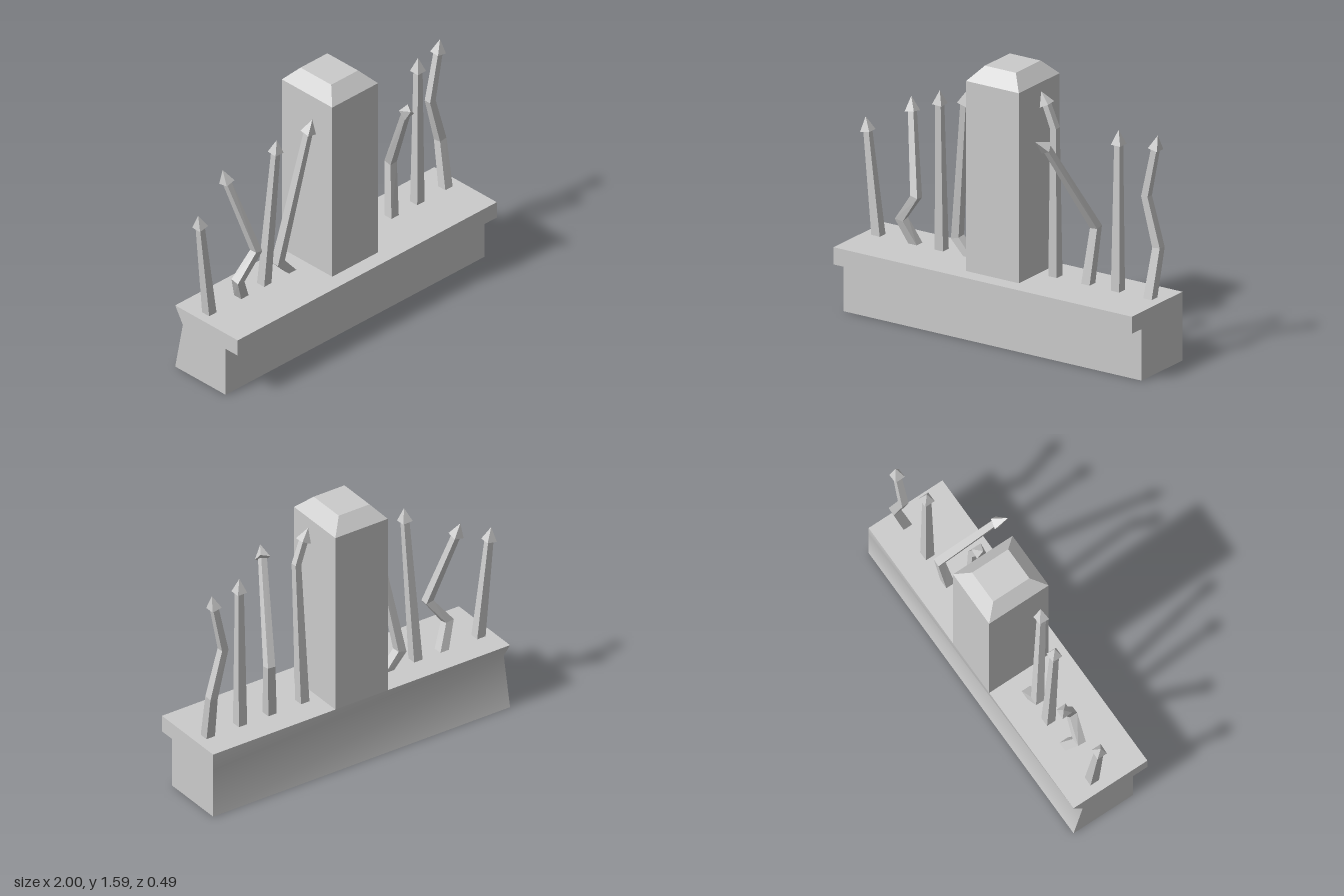
import * as THREE from 'three';
import { toCreasedNormals } from 'three/addons/utils/BufferGeometryUtils.js';

const grey = new THREE.MeshStandardMaterial({ color: 0xcccccc });
const flat = new THREE.MeshStandardMaterial({ color: 0xcccccc, flatShading: true });

function part(name, geometry, material = flat) {
  const mesh = new THREE.Mesh(geometry, material);
  mesh.name = name;
  return mesh;
}

// Joins four-cornered rings (listed from bottom to top) into a closed solid
function loft(rings) {
  const index = [];
  for (let r = 0; r < rings.length - 1; r++) {
    for (let i = 0; i < 4; i++) {
      const a = r * 4 + i, b = r * 4 + (i + 1) % 4;
      index.push(a, b, b + 4, a, b + 4, a + 4);
    }
  }
  const t = (rings.length - 1) * 4;
  index.push(0, 2, 1, 0, 3, 2, t, t + 1, t + 2, t, t + 2, t + 3);
  const geometry = new THREE.BufferGeometry().setFromPoints(rings.flat());
  geometry.setIndex(index);
  geometry.computeVertexNormals();
  return geometry;
}

// Wall with a front ledge; the back is dented at one end
function wallGeometry() {
  const profile = [[0.15, 0], [0.15, 0.3], [0.245, 0.3], [0.245, 0.4], [-0.245, 0.4], [-0.245, 0.3], [-0.245, 0]];
  const shape = new THREE.Shape(profile.map(([z, y]) => new THREE.Vector2(z, y)));
  const geometry = new THREE.ExtrudeGeometry(shape, { depth: 1.98, bevelEnabled: false });
  geometry.rotateY(-Math.PI / 2).translate(1, 0, 0);
  const p = geometry.attributes.position;
  for (let i = 0; i < p.count; i++) {
    if (p.getX(i) < 0 && Math.abs(p.getY(i) - 0.3) < 0.01 && p.getZ(i) < 0) p.setZ(i, -0.185);
  }
  return toCreasedNormals(geometry, 0.85);
}

// Square post with a chamfered top
function postGeometry() {
  const ring = (x0, x1, z0, z1, y) => [[x0, z1], [x1, z1], [x1, z0], [x0, z0]]
    .map(([x, z]) => new THREE.Vector3(x, y, z));
  return loft([
    ring(-0.165, 0.185, -0.245, 0.15, 0.4),
    ring(-0.165, 0.185, -0.245, 0.15, 1.505),
    ring(-0.095, 0.11, -0.17, 0.07, 1.585),
  ]);
}

// Bent tapering bar through the given points, ending in a pyramid point
function spike(points, name) {
  const group = new THREE.Group();
  group.name = name;
  const path = points.map((p) => new THREE.Vector3(...p));
  const tip = path.pop();
  const last = path.length - 1;
  const up = new THREE.Vector3(0, 1, 0);
  const rings = path.map((p, i) => {
    const tangent = i === 0 ? up.clone() : p.clone().sub(path[i - 1]).normalize();
    if (i > 0 && i < last) tangent.add(path[i + 1].clone().sub(p).normalize()).normalize();
    const u = new THREE.Vector3(1, 0, 0).projectOnPlane(tangent).normalize();
    const v = u.clone().cross(tangent);
    const half = THREE.MathUtils.lerp(0.028, 0.018, (p.y - 0.4) / (path[last].y - 0.4));
    return [[-1, 1], [1, 1], [1, -1], [-1, -1]].map(([a, b]) =>
      p.clone().addScaledVector(u, a * half).addScaledVector(v, b * half));
  });
  group.add(part('bar', loft(rings)));

  const axis = tip.clone().sub(path[last]);
  const cone = new THREE.ConeGeometry(0.031 * Math.SQRT2, axis.length(), 4).rotateY(Math.PI / 4);
  const point = part('point', cone);
  point.position.copy(path[last]).addScaledVector(axis, 0.5);
  point.quaternion.setFromUnitVectors(up, axis.clone().normalize());
  group.add(point);
  return group;
}

export function createModel() {
  const model = new THREE.Group();
  model.name = 'spikedWall';
  model.add(part('wall', wallGeometry(), grey), part('post', postGeometry()));

  // Spike paths, from foot to tip
  const spikes = [
    [[-0.895, 0.4, -0.065], [-0.965, 0.99, -0.065], [-0.98, 1.07, -0.065]],
    [[-0.65, 0.4, -0.065], [-0.715, 0.545, -0.025], [-0.6, 0.7, 0], [-0.707, 1.14, -0.12], [-0.725, 1.22, -0.135]],
    [[-0.475, 0.4, -0.065], [-0.446, 1.27, -0.005], [-0.443, 1.35, 0]],
    [[-0.285, 0.4, -0.065], [-0.37, 0.495, -0.065], [-0.246, 1.33, 0.045], [-0.225, 1.41, 0.055]],
    [[0.28, 0.4, -0.065], [0.298, 1.27, -0.035], [0.248, 1.4, -0.03], [0.213, 1.47, -0.025]],
    [[0.498, 0.4, -0.065], [0.525, 0.725, -0.1], [0.382, 1.235, 0.17], [0.352, 1.28, 0.235]],
    [[0.695, 0.4, -0.065], [0.7, 1.25, -0.065], [0.7, 1.335, -0.065]],
    [[0.91, 0.4, -0.065], [0.925, 0.68, -0.122], [0.847, 0.965, -0.12], [0.907, 1.25, -0.12], [0.922, 1.33, -0.12]],
  ];
  spikes.forEach((points, i) => model.add(spike(points, `spike${i + 1}`)));
  return model;
}
